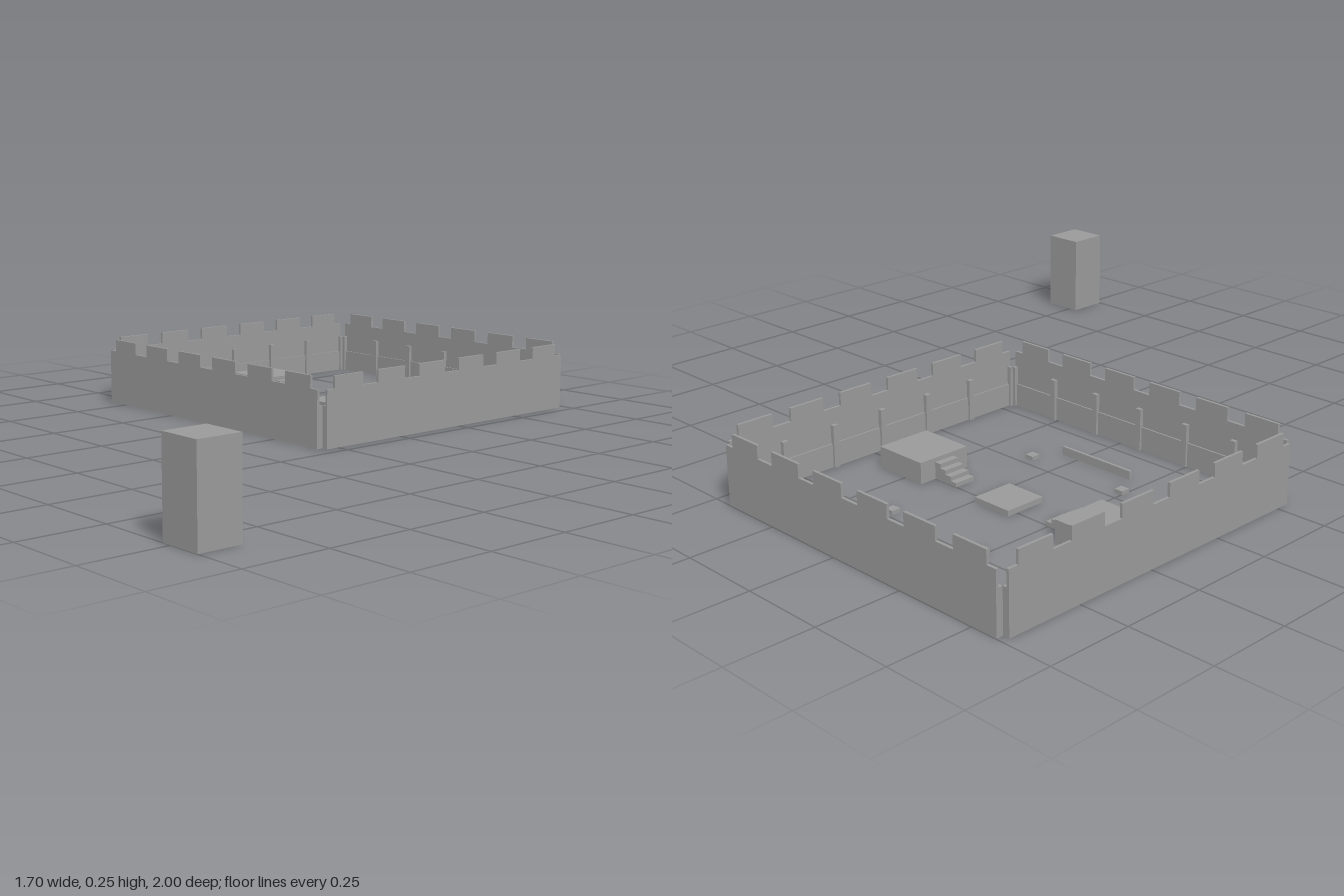
import * as THREE from 'three';

export function createModel() {
  const model = new THREE.Group();
  const grey = new THREE.MeshStandardMaterial({ color: 0x999999 });
  grey.name = 'plain grey';

  // Box given by its size and the centre of its base
  const box = (parent, name, w, h, d, x, y, z) => {
    const mesh = new THREE.Mesh(new THREE.BoxGeometry(w, h, d), grey);
    mesh.name = name;
    mesh.position.set(x, y + h / 2, z);
    parent.add(mesh);
    return mesh;
  };

  const arena = new THREE.Group();
  arena.name = 'arena';
  arena.position.set(-0.32, 0, -0.468);
  model.add(arena);

  // Four identical walls, each of six modules, open at the corners
  const MODULE = 0.17, COUNT = 6, OUTER = 0.53;
  for (let side = 0; side < 4; side++) {
    const wall = new THREE.Group();
    wall.name = 'wall' + (side + 1);
    wall.rotation.y = side * Math.PI / 2;
    arena.add(wall);
    const length = MODULE * COUNT;
    box(wall, 'wallPanel', length, 0.172, 0.008, 0, 0, OUTER - 0.004);
    box(wall, 'wallFoot', length, 0.07, 0.005, 0, 0, OUTER - 0.0105);
    for (let i = 0; i < COUNT; i++) {
      const x = (i - (COUNT - 1) / 2) * MODULE;
      box(wall, 'merlon', 0.11, 0.038, 0.008, x, 0.172, OUTER - 0.004);
    }
    // Ribs at the module joints and both ends
    for (let i = 0; i <= COUNT; i++) {
      const end = i === 0 ? 0.005 : i === COUNT ? -0.005 : 0;
      box(wall, 'rib', end ? 0.01 : 0.018, 0.125, 0.012, (i - COUNT / 2) * MODULE + end, 0, OUTER - 0.014);
    }
  }

  // Two mirrored platforms, hollow below, with steps towards the centre
  for (const s of [-1, 1]) {
    const platform = new THREE.Group();
    platform.name = s < 0 ? 'rightPlatform' : 'leftPlatform';
    arena.add(platform);
    const cx = s * 0.34, size = 0.17, t = 0.01, h = 0.062;
    box(platform, 'platformTop', size, 0.012, size, cx, h - 0.012, 0);
    for (const k of [-1, 1]) {
      box(platform, 'platformSide', t, h - 0.012, size, cx + k * (size - t) / 2, 0, 0);
      box(platform, 'platformSide', size - 2 * t, h - 0.012, t, cx, 0, k * (size - t) / 2);
    }
    for (let i = 0; i < 4; i++) {
      box(platform, 'step', 0.021, 0.0124 * (4 - i), 0.066, s * (0.2445 - i * 0.021), 0, 0);
    }
  }

  // Centre plinth, small blocks and low barriers
  box(arena, 'centrePlinth', 0.127, 0.016, 0.127, 0, 0, 0);
  for (const z of [-1, 1]) {
    for (const x of [-1, 1]) box(arena, 'smallBlock', 0.028, 0.012, 0.028, x * 0.17, 0, z * 0.257);
    box(arena, 'barrier', 0.255, 0.025, 0.009, 0, 0, z * 0.34);
  }

  // Free-standing block outside the walls
  box(model, 'standingBlock', 0.127, 0.255, 0.127, 0.785, 0, 0.9365);

  return model;
}
